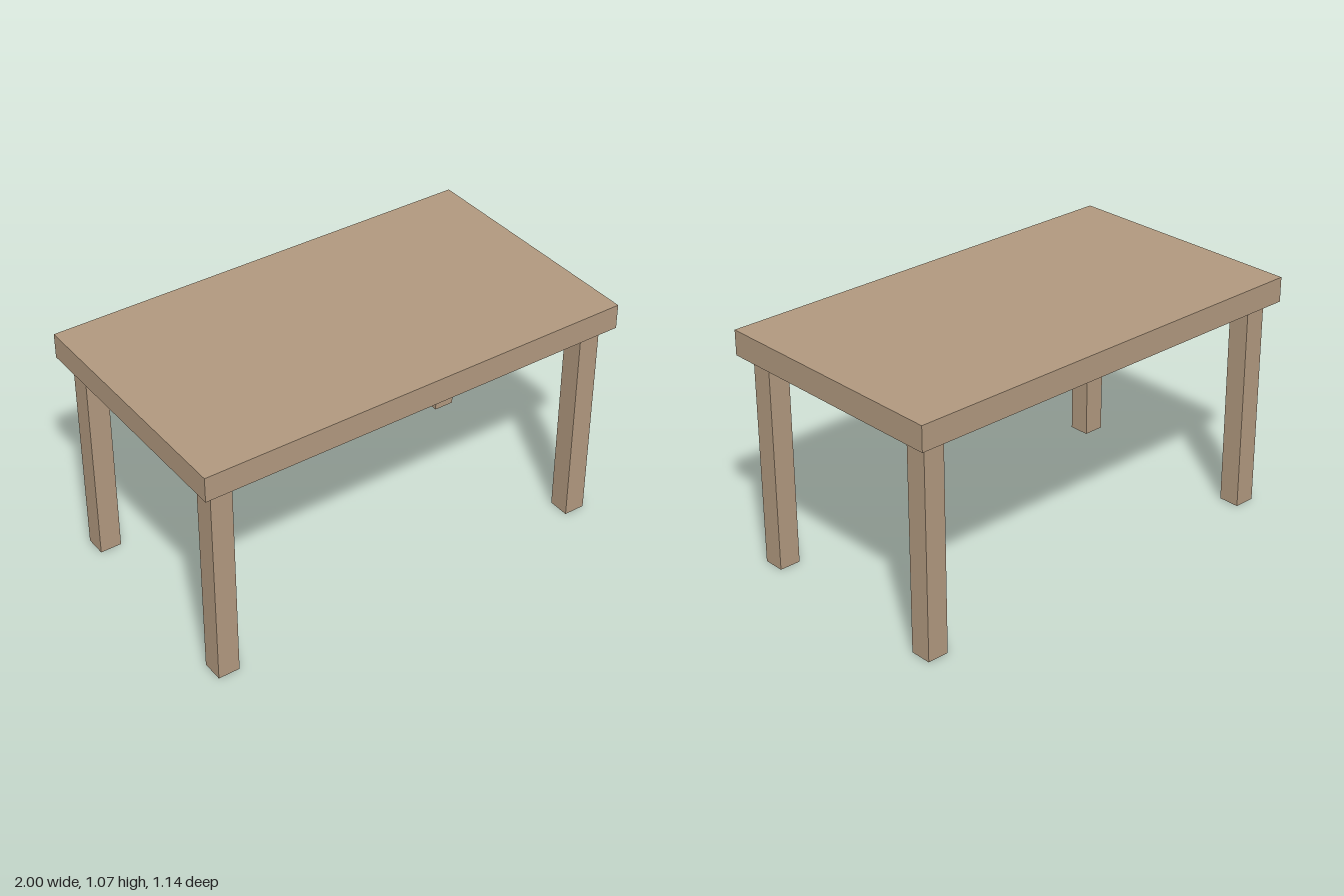
import * as THREE from 'three';

export function createModel() {
  const table = new THREE.Group();
  table.name = 'table';
  const wood = new THREE.MeshStandardMaterial({ color: 0xb0987e });

  const legHeight = 0.96;
  const legWidth = 0.098;
  const topThickness = 0.112;

  function addBox(name, [w, h, d], [x, y, z]) {
    const mesh = new THREE.Mesh(new THREE.BoxGeometry(w, h, d), wood);
    mesh.name = name;
    mesh.position.set(x, y, z);
    table.add(mesh);
  }

  // Thick slab resting on the legs
  addBox('tableTop', [2, topThickness, 1.142], [0, legHeight + topThickness / 2, 0]);

  // Four square legs, set in slightly from the corners
  for (const [xName, sx] of [['Left', 1], ['Right', -1]]) {
    for (const [zName, sz] of [['front', 1], ['back', -1]]) {
      addBox(`${zName}${xName}Leg`, [legWidth, legHeight, legWidth],
        [sx * 0.902, legHeight / 2, sz * 0.473]);
    }
  }

  return table;
}
